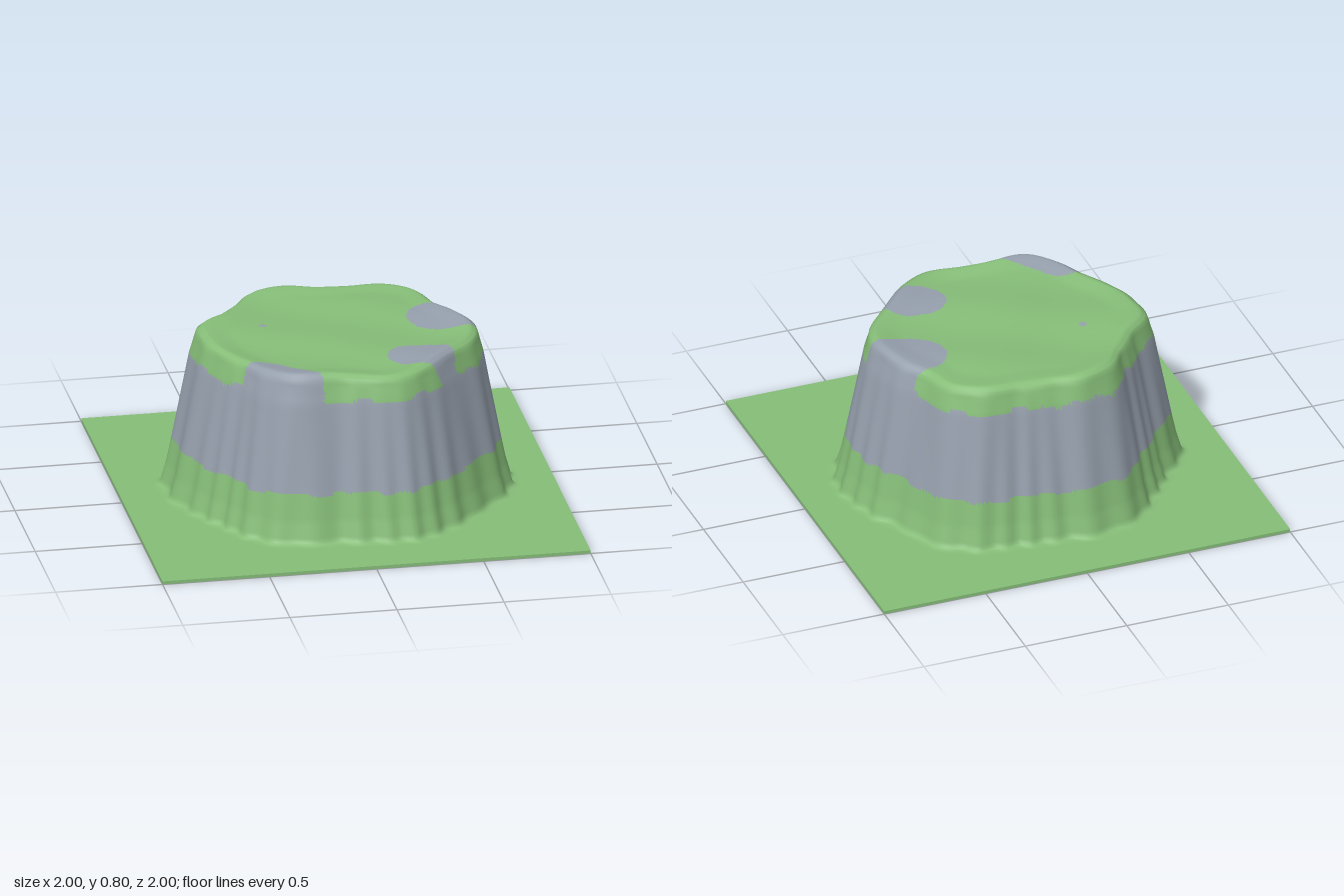
import * as THREE from 'three';

const SEGMENTS = 240;
const GROUND = 0.015;

// Radius of the cliff at mid height, every 15 degrees from +x towards +z
const RADII = [
  0.71, 0.715, 0.67, 0.655, 0.675, 0.68, 0.635, 0.64, 0.69, 0.67, 0.645, 0.665,
  0.69, 0.71, 0.645, 0.64, 0.675, 0.67, 0.63, 0.63, 0.68, 0.705, 0.66, 0.68,
];

// Cliff section: [offset from the mid radius, height, rings up to the next point]
const SECTION = [
  [-0.10, 0.785, 3], [-0.07, 0.765, 5], [-0.04, 0.66, 14],
  [0.035, 0.25, 8], [0.06, 0.12, 5], [0.085, 0.028, 2], [0.105, GROUND, 0],
];

// Bare rock on the plateau: [x1, z1, x2, z2, radius]
const PATCHES = [
  [0.50, -0.10, 0.72, -0.07, 0.15],
  [0.30, 0.34, 0.37, 0.35, 0.12],
  [0.40, 0.38, 0.50, 0.46, 0.05],
  [-0.42, 0.41, -0.27, 0.58, 0.11],
  [-0.32, -0.13, -0.32, -0.13, 0.018],
];

function outline(angle) {
  const n = RADII.length;
  const f = (angle / (2 * Math.PI)) * n;
  const i = Math.floor(f), t = f - i;
  const [p0, p1, p2, p3] = [-1, 0, 1, 2].map((k) => RADII[(i + k + n) % n]);
  return p1 + 0.5 * t * (p2 - p0 + t * (2 * p0 - 5 * p1 + 4 * p2 - p3 + t * (3 * (p1 - p2) + p3 - p0)));
}

const wave = (x, z) => 0.006 * Math.sin(9 * x + 5 * z + 1) + 0.005 * Math.sin(11 * z - 7 * x);

function inPatch(x, z) {
  return PATCHES.some(([x1, z1, x2, z2, r]) => {
    const dx = x2 - x1, dz = z2 - z1;
    const t = THREE.MathUtils.clamp(((x - x1) * dx + (z - z1) * dz) / (dx * dx + dz * dz || 1), 0, 1);
    return Math.hypot(x - x1 - t * dx, z - z1 - t * dz) < r;
  });
}

function isRock(x, y, z) {
  const a = Math.atan2(z, x);
  const ragged = 0.01 * Math.sin(13 * a) + 0.008 * Math.sin(29 * a + 1);
  if (y > 0.665 + ragged) return inPatch(x, z);
  return y > 0.245 + ragged * 0.8;
}

// One spoke of the land, from the centre out to the square edge
function spoke(angle) {
  const c = Math.cos(angle), s = Math.sin(angle), base = outline(angle);
  const points = [];
  const add = (r, y) => points.push([r * c, y, r * s]);
  const rim = base + SECTION[0][0];
  for (let k = 0; k < 45; k++) {
    const r = (rim * k) / 45;
    const lip = 0.01 * THREE.MathUtils.smoothstep(k / 45, 0.8, 1);
    add(r, 0.775 + lip + wave(r * c, r * s));
  }
  for (let j = 0; j < SECTION.length; j++) {
    const [o, y, count] = SECTION[j];
    const [o2, y2] = SECTION[j + 1] || SECTION[j];
    for (let k = 0; k < Math.max(count, 1); k++) {
      const t = count ? k / count : 0;
      const h = y + (y2 - y) * t;
      const gully = 0.004 * Math.sin(17 * angle) + 0.01 * (1 - h / 0.8) * Math.sin(31 * angle + 2 * Math.sin(5 * angle));
      const r = base + o + (o2 - o) * t + gully * (h < 0.76 ? 1 : 0.4);
      add(r, h + (h > 0.7 ? wave(r * c, r * s) * (h - 0.7) / 0.085 : 0));
    }
  }
  const foot = base + 0.13, edge = 1 / Math.max(Math.abs(c), Math.abs(s));
  for (let k = 0; k <= 4; k++) add(foot + ((edge - foot) * k) / 4, GROUND);
  return points;
}

// Skin over all spokes with a grass group and a rock group
function landGeometry(spokes, flat) {
  const rings = spokes[0].length;
  const position = [], grass = [], rock = [];
  for (const points of spokes) for (const [x, y, z] of points) position.push(x, flat ? 0 : y, z);
  const triangle = (...corners) => {
    const mid = [0, 1, 2].map((d) => corners.reduce((sum, [i, k]) => sum + spokes[i][k][d], 0) / 3);
    const ids = corners.map(([i, k]) => i * rings + k);
    (isRock(...mid) ? rock : grass).push(...(flat ? ids.reverse() : ids));
  };
  for (let i = 0; i < SEGMENTS; i++) {
    const j = (i + 1) % SEGMENTS;
    for (let k = 0; k < rings - 1; k++) {
      if (k > 0) triangle([i, k], [j, k], [i, k + 1]);
      triangle([j, k], [j, k + 1], [i, k + 1]);
    }
  }
  const geometry = new THREE.BufferGeometry();
  geometry.setAttribute('position', new THREE.Float32BufferAttribute(position, 3));
  geometry.setIndex(grass.concat(rock));
  geometry.addGroup(0, grass.length, 0);
  geometry.addGroup(grass.length, rock.length, 1);
  geometry.computeVertexNormals();
  return geometry;
}

export function createModel() {
  const grass = new THREE.MeshStandardMaterial({ color: 0x86bd78 });
  grass.name = 'grass';
  const rock = new THREE.MeshStandardMaterial({ color: 0x959fac });
  rock.name = 'rock';

  const model = new THREE.Group();
  model.name = 'plateau';
  const spokes = Array.from({ length: SEGMENTS }, (_, i) => spoke((i / SEGMENTS) * 2 * Math.PI));

  // Hill and surrounding ground
  const land = new THREE.Mesh(landGeometry(spokes, false), [grass, rock]);
  land.name = 'land';
  model.add(land);

  // Flat underside with the same colours
  const underside = new THREE.Mesh(landGeometry(spokes, true), [grass, rock]);
  underside.name = 'underside';
  model.add(underside);

  // Thin edges of the ground slab
  for (let i = 0; i < 4; i++) {
    const edge = new THREE.Mesh(new THREE.PlaneGeometry(2, GROUND).translate(0, GROUND / 2, 1), grass);
    edge.rotation.y = (i * Math.PI) / 2;
    edge.name = 'groundEdge';
    model.add(edge);
  }
  return model;
}
